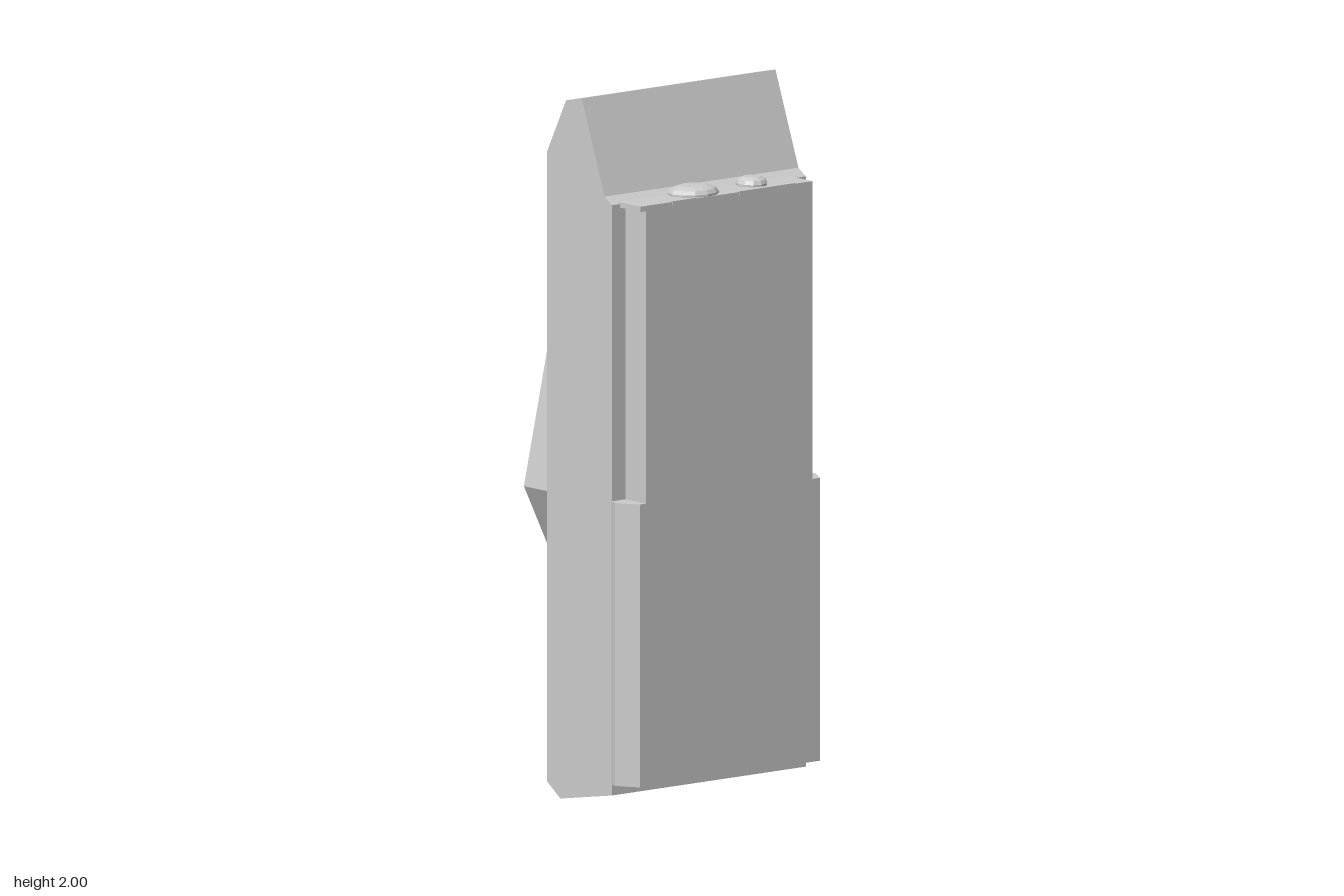
import * as THREE from 'three';

const grey = new THREE.MeshStandardMaterial({ color: 0xcccccc, flatShading: true });

export function createModel() {
  const model = new THREE.Group();

  const add = (name, geometry, x = 0, y = 0, z = 0) => {
    const mesh = new THREE.Mesh(geometry, grey);
    mesh.name = name;
    mesh.position.set(x, y, z);
    model.add(mesh);
    return mesh;
  };
  const extrude = (points, depth) => new THREE.ExtrudeGeometry(
    new THREE.Shape(points.map(([a, b]) => new THREE.Vector2(a, b))),
    { depth, bevelEnabled: false });

  // Side profile given as [z, y], swept from x0 to x1
  const sweepX = (name, profile, x0, x1) =>
    add(name, extrude(profile, x1 - x0).rotateY(-Math.PI / 2), x1);
  // Plan outline given as [x, z], swept from y0 to y1
  const sweepY = (outline, y0, y1) =>
    extrude(outline.map(([x, z]) => [x, -z]), y1 - y0).rotateX(-Math.PI / 2).translate(0, y0, 0);
  // Box given by its limits
  const block = (name, x0, x1, y0, y1, z0, z1) =>
    add(name, new THREE.BoxGeometry(x1 - x0, y1 - y0, z1 - z0),
      (x0 + x1) / 2, (y0 + y1) / 2, (z0 + z1) / 2);

  // Body: raised underside in the middle, cheeks forming the feet
  const upper = [[-0.082, 1.83], [0, 1.985], [0.068, 2], [0.168, 1.735], [0.2, 1.715]];
  sweepX('body', [[0.2, 0.04], [-0.03, 0.04], [-0.082, 0.065], ...upper], -0.305, 0.3);
  const cheek = [[0.2, 0.04], [-0.025, 0], [-0.082, 0.04], ...upper];
  sweepX('rightCheek', cheek, -0.354, -0.305);
  sweepX('leftCheek', cheek, 0.3, 0.351);

  // Front cover: wide grip below, narrower panel and lip above
  add('lowerCover', sweepY([[-0.328, 0.29], [-0.364, 0.226], [-0.352, 0.19],
    [0.352, 0.19], [0.364, 0.226], [0.328, 0.29]], 0.072, 0.875));
  block('upperCover', -0.305, 0.3, 0.875, 1.705, 0.19, 0.29);
  block('coverLip', -0.325, 0.3, 1.705, 1.72, 0.168, 0.29);
  block('rightMark', -0.21, -0.125, 1.709, 1.722, 0.284, 0.291);
  block('leftMark', 0.035, 0.235, 1.709, 1.722, 0.284, 0.291);

  // Faceted buttons on top of the cover
  const button = (name, r, h, sides, x, z) => add(name, new THREE.LatheGeometry(
    [[r, 0], [r, h * 0.3], [r * 0.88, h * 0.7], [r * 0.55, h], [0, h * 1.04]]
      .map(([a, b]) => new THREE.Vector2(a, b)), sides), x, 1.718, z);
  button('largeButton', 0.077, 0.027, 12, -0.08, 0.226).scale.z = 0.83;
  button('smallButton', 0.045, 0.026, 11, 0.135, 0.222);

  // Belt clip: six-sided block whose top holds a pocket
  const cut = 1.2, cutX = 0.251;
  add('clipBlock', extrude([[-0.2, 0.597], [0.2, 0.597], [0.328, 0.857], [cutX, cut],
    [-cutX, cut], [-0.328, 0.857]], 0.135), 0, 0, -0.215);
  const pocket = [[0.06, -0.08], [0.06, -0.15], [0.045, -0.163], [0.024, -0.17],
    [0, -0.16], [-0.025, -0.145], [-0.08, -0.145], [-0.1, -0.118], [-0.1, -0.08]];
  const clipTop = sweepY([[-0.232, -0.08], [-0.232, -0.215], [0.232, -0.215],
    [0.232, -0.08], ...pocket], cut, 1.288);
  const p = clipTop.attributes.position;
  for (let i = 0; i < p.count; i++) {
    if (Math.abs(p.getX(i)) > 0.2 && p.getY(i) < cut + 0.01) p.setX(i, Math.sign(p.getX(i)) * cutX);
  }
  clipTop.computeVertexNormals();
  add('clipTop', clipTop);
  for (const s of [-1, 1]) {
    add(s < 0 ? 'rightStud' : 'leftStud', new THREE.SphereGeometry(0.048, 10, 8), s * 0.265, 0.757, -0.084);
  }

  // Dial with a thin key blade
  add('dial', new THREE.CylinderGeometry(0.255, 0.255, 0.012, 12)
    .rotateY(Math.PI / 2).rotateX(Math.PI / 2), 0, 0.985, -0.218);
  block('keyBlade', -0.17, 0.04, 0.992, 1.0, -0.292, -0.22);
  block('keyRib', -0.03, 0.04, 1.0, 1.01, -0.266, -0.22);

  return model;
}
